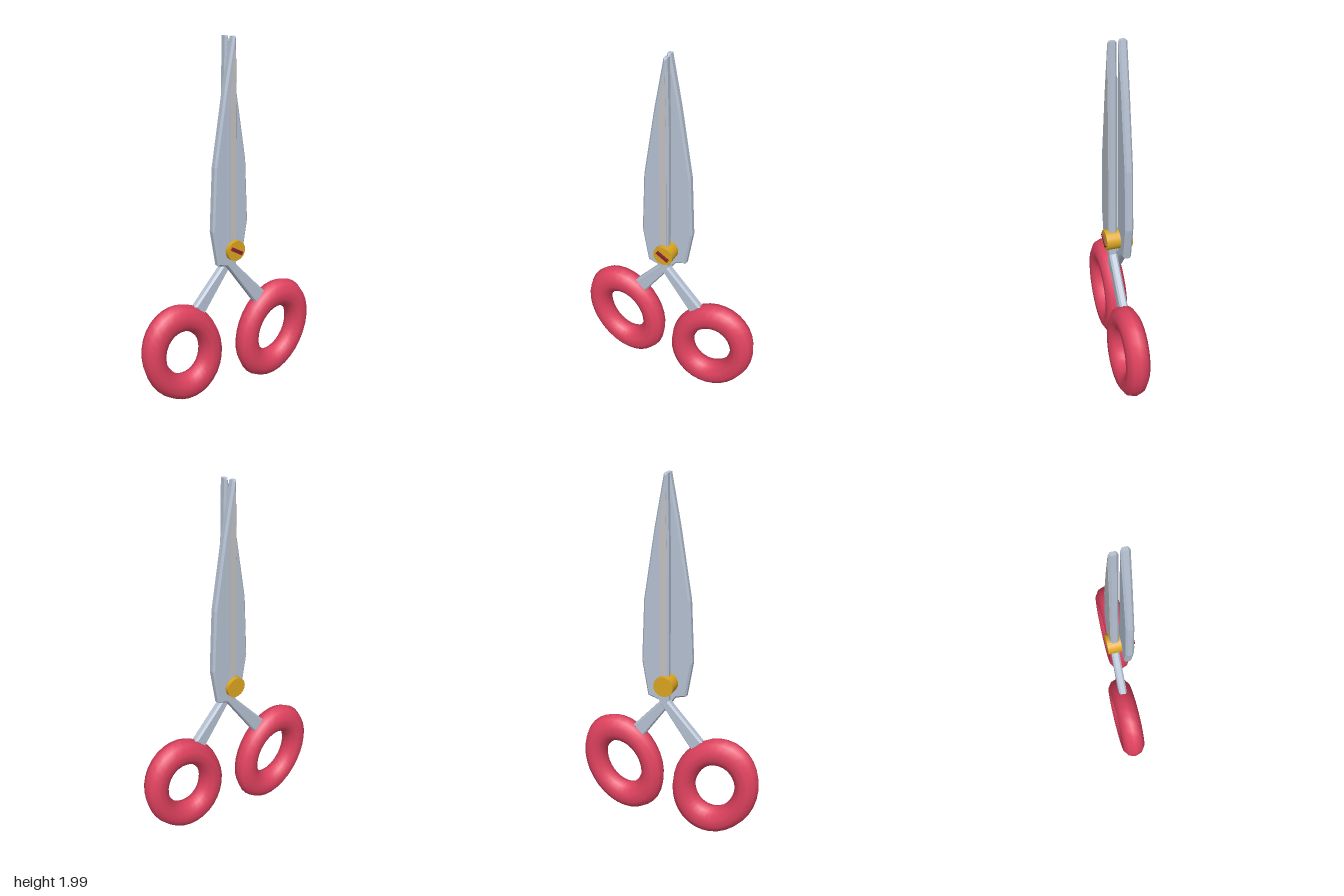
import * as THREE from 'three';

const steel = new THREE.MeshStandardMaterial({ color: 0xb6c2d3 });
steel.name = 'steel';
const ground = new THREE.MeshStandardMaterial({ color: 0xc4c2c2 });
ground.name = 'groundSteel';
const red = new THREE.MeshStandardMaterial({ color: 0xe0425f });
red.name = 'redGrip';
const brass = new THREE.MeshStandardMaterial({ color: 0xdba520 });
brass.name = 'brass';
const dark = new THREE.MeshStandardMaterial({ color: 0x8c2030 });
dark.name = 'darkRed';

const BEVEL = 0.01;
const Z_BACK = 0.005; // inner face of each half
const THICK = 0.045;

function add(parent, name, geometry, material) {
  const mesh = new THREE.Mesh(geometry, material);
  mesh.name = name;
  parent.add(mesh);
  return mesh;
}

const outline = (pts) => new THREE.Shape(pts.map(([x, y]) => new THREE.Vector2(x, y)));

// Flat bar with chamfered rims; the bevel grows the outline by BEVEL
function bar(pts) {
  const geo = new THREE.ExtrudeGeometry(outline(pts), {
    depth: THICK - 2 * BEVEL,
    bevelThickness: BEVEL,
    bevelSize: BEVEL,
    bevelSegments: 1,
  });
  return geo.translate(0, 0, Z_BACK + BEVEL);
}

// One half: blade on the -x side, shank crossing over to the +x grip
function createHalf(name) {
  const half = new THREE.Group();
  half.name = name;

  add(half, 'blade', bar([
    [0.012, 0.775], [0.012, 1.6], [0.005, 1.985], [0.003, 1.985],
    [-0.046, 1.73], [-0.109, 1.345], [-0.125, 1.0], [-0.092, 0.805],
  ]), steel);

  // Pale ground strip along the cutting edge
  const strip = new THREE.ExtrudeGeometry(outline([
    [0.012, 0.93], [0.012, 1.6], [0.005, 1.93], [-0.004, 1.9], [-0.027, 1.7], [-0.027, 0.93],
  ]), { depth: 0.003, bevelEnabled: false });
  add(half, 'cuttingEdge', strip.translate(0, 0, Z_BACK + THICK - 0.001), ground);

  add(half, 'shank', bar([
    [-0.04, 0.79], [0.162, 0.513], [0.207, 0.563], [0.005, 0.782],
  ]), steel);

  // Oval finger loop, leaning outward
  const grip = add(half, 'grip', new THREE.TorusGeometry(0.177, 0.0655, 10, 32), red);
  grip.scale.set(1, 1.255, 1);
  grip.rotation.z = -0.365;
  grip.position.set(0.293, 0.303, 0.029);
  return half;
}

export function createModel() {
  const model = new THREE.Group();
  model.name = 'scissors';

  model.add(createHalf('frontHalf'));
  const back = createHalf('backHalf');
  back.rotation.y = Math.PI;
  model.add(back);

  // Pivot screw through both blades
  const screw = add(model, 'pivotScrew', new THREE.CylinderGeometry(0.057, 0.057, 0.146, 20), brass);
  screw.rotation.x = Math.PI / 2;
  screw.position.y = 0.872;

  const slot = add(model, 'screwSlot', new THREE.BoxGeometry(0.08, 0.02, 0.012), dark);
  slot.rotation.z = -0.55;
  slot.position.set(0, 0.872, 0.075);

  return model;
}
